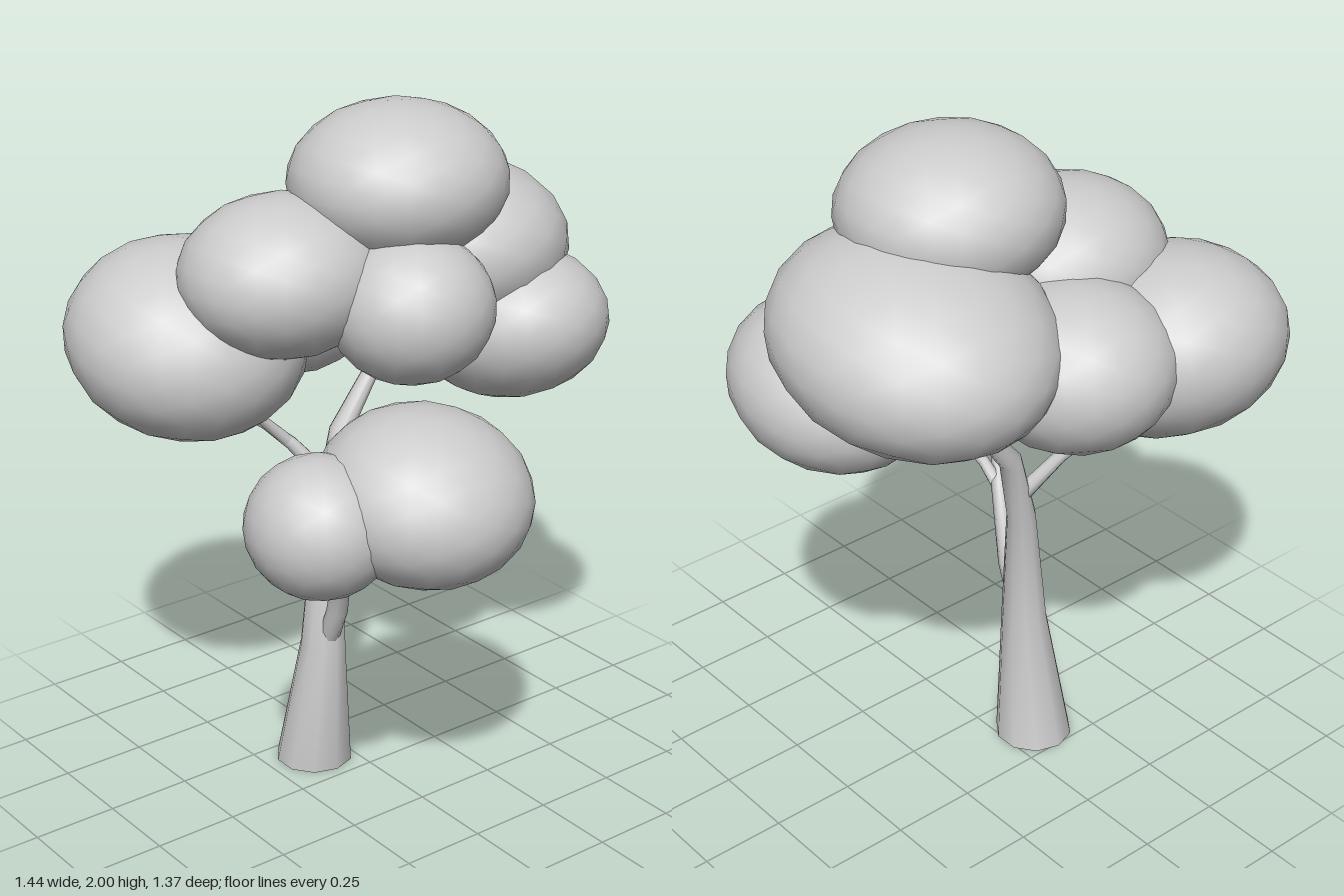
import * as THREE from 'three';
import { mergeVertices } from 'three/addons/utils/BufferGeometryUtils.js';

const bark = new THREE.MeshStandardMaterial({ color: 0xcccccc, side: THREE.DoubleSide });
const leaf = new THREE.MeshStandardMaterial({ color: 0xcccccc });

// Tapered limb through points [x, y, z, radius]; the first ring may be laid flat.
function limb(name, points, sides, flatBase = false) {
  const centres = points.map(p => new THREE.Vector3(p[0], p[1], p[2]));
  const positions = [], index = [];
  points.forEach((p, i) => {
    const dir = centres[Math.min(i + 1, points.length - 1)].clone()
      .sub(centres[Math.max(i - 1, 0)]).normalize();
    if (i === 0 && flatBase) dir.set(0, 1, 0);
    const turn = new THREE.Quaternion().setFromUnitVectors(new THREE.Vector3(0, 1, 0), dir);
    for (let s = 0; s < sides; s++) {
      const a = (s / sides) * Math.PI * 2;
      const v = new THREE.Vector3(Math.sin(a) * p[3], 0, Math.cos(a) * p[3])
        .applyQuaternion(turn).add(centres[i]);
      positions.push(v.x, v.y, v.z);
      if (i > 0) {
        const n = (s + 1) % sides, lo = (i - 1) * sides, hi = i * sides;
        index.push(lo + s, lo + n, hi + n, lo + s, hi + n, hi + s);
      }
    }
  });
  // close the tip
  const tip = points.length * sides, last = tip - sides;
  positions.push(...centres[centres.length - 1].toArray());
  for (let s = 0; s < sides; s++) index.push(last + s, last + (s + 1) % sides, tip);

  const geometry = new THREE.BufferGeometry();
  geometry.setAttribute('position', new THREE.Float32BufferAttribute(positions, 3));
  geometry.setIndex(index);
  geometry.computeVertexNormals();
  const mesh = new THREE.Mesh(geometry, bark);
  mesh.name = name;
  return mesh;
}

// Shared rounded foliage shape
function foliageGeometry() {
  const geometry = new THREE.IcosahedronGeometry(1.008, 3);
  geometry.deleteAttribute('uv');
  return mergeVertices(geometry);
}

export function createModel() {
  const tree = new THREE.Group();
  tree.name = 'tree';

  // Trunk: flared foot, leaning up into the crown
  tree.add(limb('trunk', [
    [-0.1, 0, -0.145, 0.115],
    [-0.1, 0.4, -0.095, 0.068],
    [-0.045, 0.8, -0.14, 0.043],
    [0.02, 1.02, -0.165, 0.034],
    [0.17, 1.21, -0.18, 0.022],
    [0.28, 1.36, -0.19, 0.014],
  ], 10, true));

  // Front branch with a side fork
  tree.add(limb('frontBranch', [
    [-0.1, 0.42, -0.07, 0.03],
    [-0.108, 0.54, -0.015, 0.031],
    [-0.135, 0.77, 0.06, 0.025],
    [-0.22, 0.82, 0.17, 0.016],
    [-0.33, 0.87, 0.28, 0.01],
  ], 8));
  tree.add(limb('frontBranchFork', [
    [-0.135, 0.75, 0.05, 0.022],
    [-0.135, 0.81, 0.13, 0.017],
    [-0.13, 0.88, 0.32, 0.01],
  ], 8));

  // Back branch with a side fork
  tree.add(limb('backBranch', [
    [-0.03, 0.88, -0.155, 0.026],
    [-0.12, 1.0, -0.215, 0.02],
    [-0.18, 1.06, -0.26, 0.016],
    [-0.26, 1.11, -0.39, 0.009],
  ], 8));
  tree.add(limb('backBranchFork', [
    [-0.13, 1.01, -0.22, 0.018],
    [-0.2, 1.08, -0.235, 0.015],
    [-0.28, 1.15, -0.22, 0.009],
  ], 8));

  // Foliage: name, centre, radii, tilt about x
  const clumps = [
    ['topFoliage', [0.125, 1.78, -0.035], [0.31, 0.22, 0.302], 0],
    ['upperLeftFoliage', [0.345, 1.525, -0.155], [0.37, 0.265, 0.42], -0.15],
    ['lowerLeftFoliage', [0.445, 1.335, 0.075], [0.272, 0.22, 0.3], -0.2],
    ['frontFoliage', [0.03, 1.478, 0.145], [0.232, 0.208, 0.23], 0],
    ['upperRightFoliage', [-0.215, 1.555, -0.108], [0.298, 0.223, 0.278], 0],
    ['backRightFoliage', [-0.38, 1.345, -0.345], [0.34, 0.265, 0.345], 0.25],
    ['backFoliage', [-0.03, 1.4, -0.36], [0.28, 0.23, 0.283], 0],
    ['lowFrontFoliage', [-0.12, 1.05, 0.39], [0.297, 0.23, 0.298], 0.2],
    ['lowRightFoliage', [-0.395, 1.0, 0.295], [0.202, 0.195, 0.208], 0],
  ];
  const blob = foliageGeometry();
  for (const [name, centre, radii, tilt] of clumps) {
    const mesh = new THREE.Mesh(blob, leaf);
    mesh.name = name;
    mesh.position.set(...centre);
    mesh.scale.set(...radii);
    mesh.rotation.x = tilt;
    tree.add(mesh);
  }
  return tree;
}
